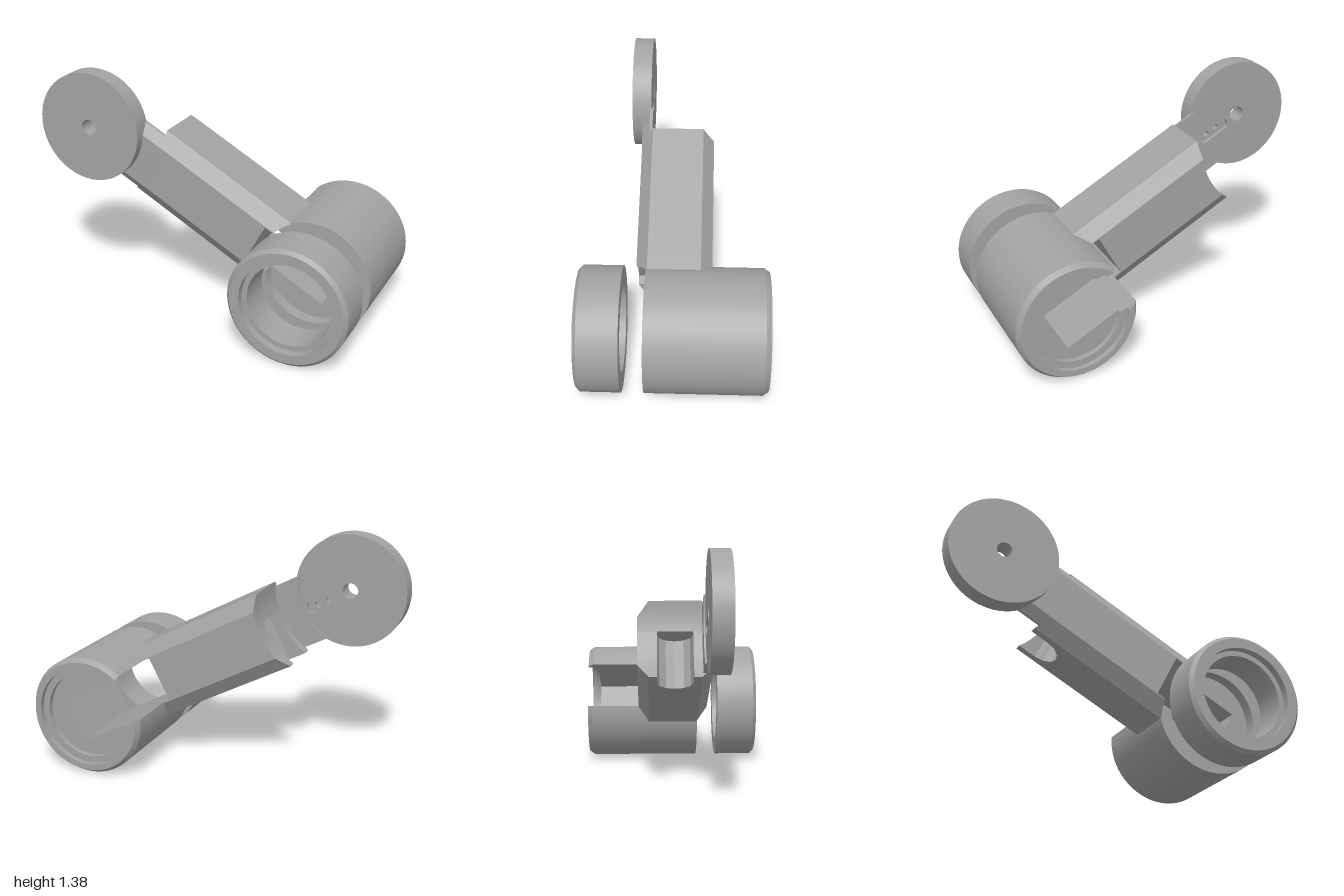
import * as THREE from 'three';
import { mergeGeometries, toCreasedNormals } from 'three/addons/utils/BufferGeometryUtils.js';

const PIVOT = 1.514;   // distance between disc axis and barrel axis
const SLOT = 0.135;    // half width of the fork slot

// Half depth of the beam at height v: flat faces with chamfered long edges
const beamZ = v => 0.208 - Math.max(0, Math.abs(v) - 0.14) * 0.78;

// Loft four-cornered sections (u, z) stacked along v
function loft(vs, section) {
  const pos = [];
  const rows = vs.map(v => section(v).map(([u, z]) => [u, v, z]));
  const quad = (a, b, c, d) => pos.push(...a, ...b, ...c, ...a, ...c, ...d);
  for (let k = 0; k + 1 < rows.length; k++) {
    for (let i = 0; i < 4; i++) {
      const j = (i + 1) % 4;
      quad(rows[k][i], rows[k][j], rows[k + 1][j], rows[k + 1][i]);
    }
  }
  const [p, q] = [rows[0], rows[rows.length - 1]];
  quad(p[3], p[2], p[1], p[0]);
  quad(...q);
  const g = new THREE.BufferGeometry();
  g.setAttribute('position', new THREE.Float32BufferAttribute(pos, 3));
  return toCreasedNormals(g, 0.3);
}

function extrude(shape, z0, z1) {
  const g = new THREE.ExtrudeGeometry(shape, { depth: z1 - z0, bevelEnabled: false, curveSegments: 48 });
  return g.translate(0, 0, z0);
}

function circlePath(x, y, r) {
  return new THREE.Path().absarc(x, y, r, 0, Math.PI * 2, true);
}

// Beam with a concave end near the disc and a round bore open to below
function beamGeometry() {
  const parts = [];
  const zs = [-0.22, -0.1, -0.087, -0.05, 0, 0.05, 0.087, 0.1, 0.22];
  const concave = v => Math.sqrt(0.44 ** 2 - v * v);
  const lower = [-0.22, -0.18, -0.14, -0.1, -0.05, 0, 0.06];
  const upper = [0.06, 0.1, 0.14, 0.18, 0.22];
  for (let i = 0; i + 1 < zs.length; i++) {
    const bored = i > 0 && i < zs.length - 2;
    for (const vs of [lower, upper]) {
      parts.push(loft(vs, v => {
        const clip = z => THREE.MathUtils.clamp(z, -beamZ(v), beamZ(v));
        const start = z => bored && vs === lower
          ? 0.49 + Math.sqrt(Math.max(0, 0.01 - z * z)) : concave(v);
        const [b, f] = [zs[i], zs[i + 1]];
        return [[start(f), clip(f)], [1.15, clip(f)], [1.15, clip(b)], [start(b), clip(b)]];
      }));
    }
  }
  return mergeGeometries(parts);
}

// Barrel slice: a disc or ring, cut by the slot that faces the beam
function slottedShape(R, r) {
  const a = Math.PI - Math.asin(SLOT / R);
  const s = new THREE.Shape();
  s.absarc(0, 0, R, -a, a, false);
  if (r) {
    const b = Math.PI - Math.asin(SLOT / r);
    s.absarc(0, 0, r, b, -b, true);
  } else {
    s.lineTo(0.126, SLOT);
    s.lineTo(0.126, -SLOT);
  }
  s.closePath();
  return s;
}

export function createModel() {
  const grey = new THREE.MeshStandardMaterial({ color: 0xa3a3a3 });
  grey.name = 'plain grey';
  const model = new THREE.Group();
  model.name = 'linkArm';
  const arm = new THREE.Group();
  arm.name = 'tiltedArm';
  arm.position.set(-0.68, 1.06, 0);
  arm.rotation.z = -Math.atan2(0.715, 1.335);
  model.add(arm);

  const add = (name, geometry, u = 0) => {
    const m = new THREE.Mesh(geometry, grey);
    m.name = name;
    m.position.x = u;
    arm.add(m);
  };

  // Pivot disc: centre hole, and a slot with two screw holes in its back
  const discLayer = (z0, z1, holes) => {
    const s = new THREE.Shape().absarc(0, 0, 0.32, 0, Math.PI * 2, false);
    s.holes.push(circlePath(0, 0, 0.045), ...holes);
    return toCreasedNormals(extrude(s, z0, z1), 0.5);
  };
  const slot = new THREE.Path();
  slot.absarc(0.245, 0, 0.035, Math.PI / 2, -Math.PI / 2, true);
  slot.absarc(0.11, 0, 0.035, -Math.PI / 2, -Math.PI * 1.5, true);
  slot.closePath();
  add('pivotDisc', mergeGeometries([
    discLayer(0.16, 0.185, [slot]),
    discLayer(0.185, 0.225, [circlePath(0.15, 0, 0.018), circlePath(0.22, 0, 0.018)]),
    discLayer(0.225, 0.27, []),
  ]));

  // Neck plate joining the disc to the beam
  add('neckPlate', loft([-0.195, -0.14, -0.07, 0, 0.07, 0.14, 0.195], v => {
    const u = Math.sqrt(0.305 ** 2 - v * v);
    const f = Math.min(0.213, beamZ(v) + 0.004);
    return [[u, f], [0.46, f - 0.003], [0.46, 0.15], [u, 0.15]];
  }));

  add('beam', beamGeometry());

  // Two cheeks carry the beam on to the barrel
  for (const side of [1, -1]) {
    const vs = [SLOT, 0.14, 0.18, 0.22].map(v => v * side).sort((a, b) => a - b);
    add(side > 0 ? 'upperCheek' : 'lowerCheek', loft(vs, v => {
      const z = beamZ(v);
      const end = PIVOT - Math.sqrt(0.34 ** 2 - v * v);
      return [[1.14, z], [end, z], [end, -z], [1.14, -z]];
    }));
  }

  // Slotted barrel: open ends around a thick web, rear rim chamfered
  const rim = extrude(slottedShape(0.345, 0.29), -0.52, -0.49);
  const p = rim.attributes.position;
  for (let i = 0; i < p.count; i++) {
    if (p.getZ(i) < -0.51 && Math.hypot(p.getX(i), p.getY(i)) > 0.34) {
      p.setXY(i, p.getX(i) * 0.942, p.getY(i) * 0.942);
    }
  }
  add('barrel', mergeGeometries([
    rim,
    extrude(slottedShape(0.345, 0.25), -0.49, -0.46),
    extrude(slottedShape(0.345, 0), -0.46, 0.08),
    extrude(slottedShape(0.345, 0.27), 0.08, 0.15),
  ].map(g => toCreasedNormals(g, 0.5))), PIVOT);

  // Front collar with a stepped bore
  const profile = [[0.24, 0.275], [0.345, 0.275], [0.345, 0.495], [0.325, 0.515],
    [0.27, 0.515], [0.27, 0.47], [0.24, 0.47], [0.24, 0.275]];
  const collar = new THREE.LatheGeometry(profile.map(q => new THREE.Vector2(...q)), 80);
  add('frontCollar', toCreasedNormals(collar.rotateX(Math.PI / 2), 0.5), PIVOT);

  return model;
}
